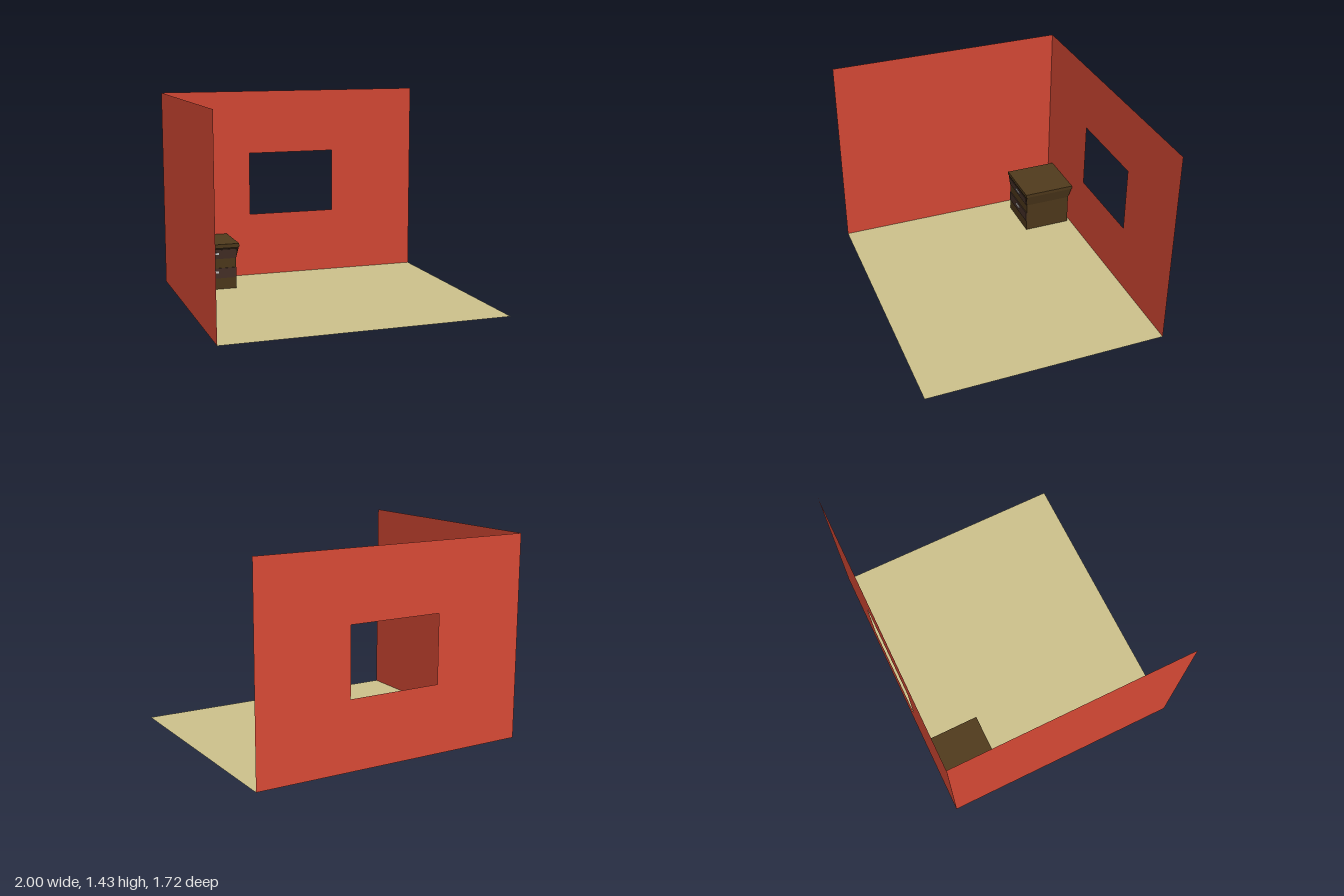
import * as THREE from 'three';

const paint = (color) => new THREE.MeshStandardMaterial({ color, side: THREE.DoubleSide });

// Block between two heights; the top rectangle may differ from the bottom one.
// Rectangles are [x0, x1, z0, z1].
function block(name, material, y0, y1, bottom, top = bottom) {
  const geo = new THREE.BoxGeometry(1, 1, 1);
  const p = geo.attributes.position;
  for (let i = 0; i < p.count; i++) {
    const up = p.getY(i) > 0;
    const r = up ? top : bottom;
    p.setXYZ(i, p.getX(i) > 0 ? r[1] : r[0], up ? y1 : y0, p.getZ(i) > 0 ? r[3] : r[2]);
  }
  geo.computeVertexNormals();
  const mesh = new THREE.Mesh(geo, material);
  mesh.name = name;
  return mesh;
}

function createNightstand() {
  const stand = new THREE.Group();
  stand.name = 'nightstand';
  const wood = paint(0x503a1c);
  const dark = paint(0x21160b);
  const drawer = paint(0x483229);
  const metal = paint(0xcccccc);

  // Straight body, flared collar and top board
  stand.add(block('body', wood, 0.002, 0.23, [-0.89, -0.545, -0.835, -0.482]));
  stand.add(block('flaredCollar', wood, 0.23, 0.315,
    [-0.89, -0.545, -0.835, -0.482], [-0.905, -0.525, -0.853, -0.470]));
  stand.add(block('topBoard', wood, 0.315, 0.34, [-0.907, -0.523, -0.855, -0.466]));

  // Dark recess behind the upper drawer
  stand.add(block('frontRecess', dark, 0.23, 0.315,
    [-0.89, -0.545, -0.49, -0.481], [-0.905, -0.525, -0.48, -0.469]));

  // Drawer fronts; the upper one leans out with the collar
  stand.add(block('upperDrawer', drawer, 0.23, 0.30,
    [-0.89, -0.545, -0.49, -0.477], [-0.89, -0.545, -0.48, -0.467]));
  stand.add(block('lowerDrawer', drawer, 0.085, 0.16, [-0.89, -0.545, -0.49, -0.476]));

  // Handles
  for (const [y, z] of [[0.27, -0.467], [0.131, -0.472]]) {
    stand.add(block('handle', metal, y - 0.007, y + 0.007, [-0.745, -0.677, z - 0.012, z]));
  }
  return stand;
}

export function createModel() {
  const room = new THREE.Group();
  room.name = 'roomCorner';
  const W = 1, D = 0.86, H = 1.43;
  const red = paint(0xdd4b37);

  // Floor
  const floor = new THREE.Mesh(new THREE.PlaneGeometry(2 * W, 2 * D).rotateX(-Math.PI / 2), paint(0xcbc08a));
  floor.name = 'floor';

  // Back wall with a window opening
  const shape = new THREE.Shape();
  shape.moveTo(-W, 0).lineTo(W, 0).lineTo(W, H).lineTo(-W, H).closePath();
  const opening = new THREE.Path();
  opening.moveTo(-0.335, 0.48).lineTo(-0.335, 0.955).lineTo(0.333, 0.955).lineTo(0.333, 0.48).closePath();
  shape.holes.push(opening);
  const backWall = new THREE.Mesh(new THREE.ShapeGeometry(shape), red);
  backWall.position.z = -D;
  backWall.name = 'backWall';

  // Side wall
  const sideWall = new THREE.Mesh(new THREE.PlaneGeometry(2 * D, H).rotateY(Math.PI / 2), red);
  sideWall.position.set(-W, H / 2, 0);
  sideWall.name = 'sideWall';

  room.add(floor, backWall, sideWall, createNightstand());
  return room;
}
